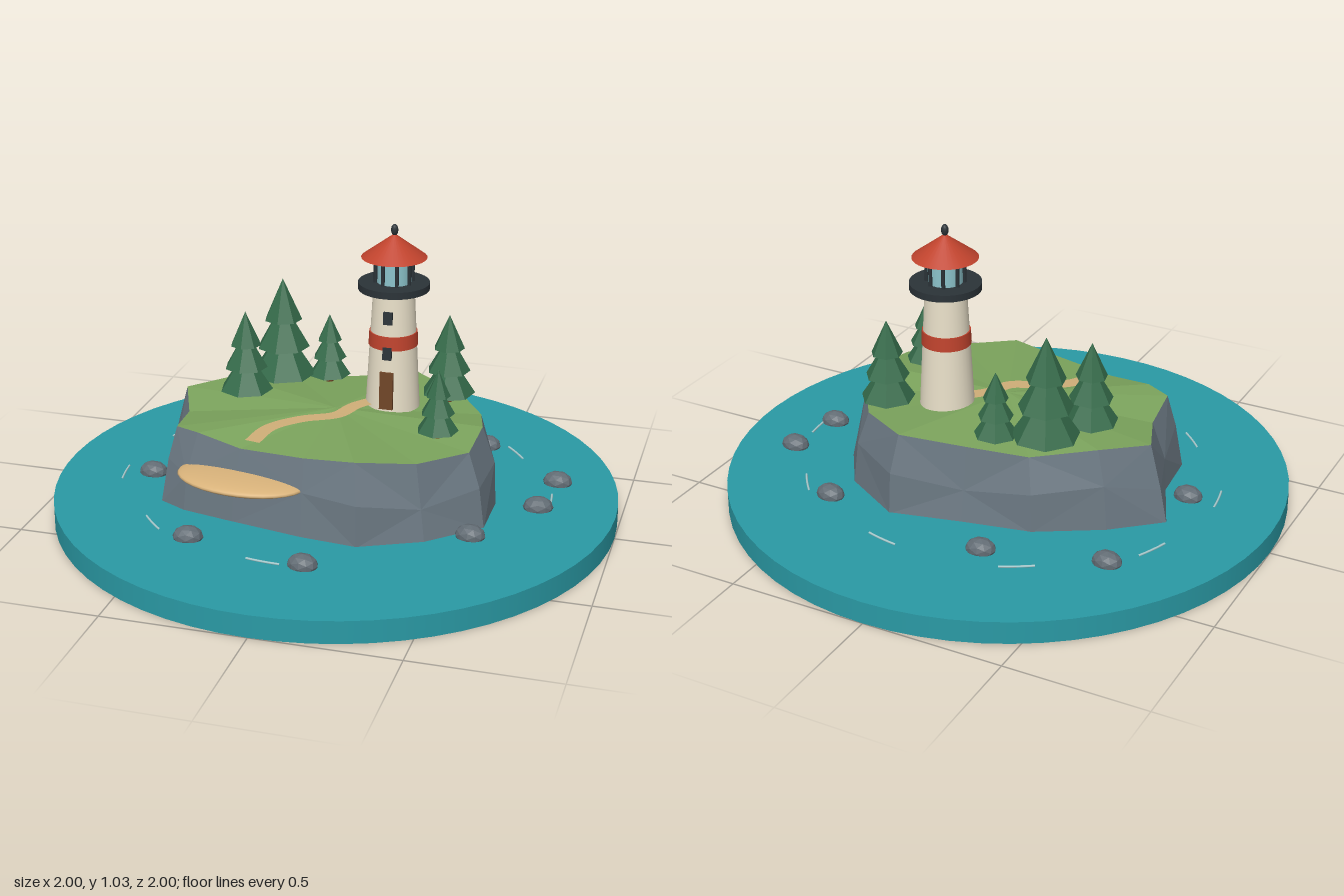
import * as THREE from 'three';

const mat = (color, flat = false, side = THREE.FrontSide) =>
  new THREE.MeshStandardMaterial({ color, flatShading: flat, side });

const M = {
  sea: mat(0x2a9aa5), rock: mat(0x6b7882, true), grass: mat(0x7ba35c, true),
  sand: mat(0xd8b27a), path: mat(0xcfae78, false, THREE.DoubleSide),
  wall: mat(0xe8dfc8), red: mat(0xc0432d), dark: mat(0x2b3338), glass: mat(0x8cc4cc),
  wood: mat(0x6f4426), leaf: mat(0x356b4a, true), stone: mat(0x626c74, true),
  foam: mat(0xa9cdd0),
};

function add(parent, name, geo, material, x = 0, y = 0, z = 0) {
  const m = new THREE.Mesh(geo, material);
  m.name = name;
  m.position.set(x, y, z);
  parent.add(m);
  return m;
}

// Cylinder standing from y0 to y1
function post(parent, name, rBottom, rTop, y0, y1, material, seg = 32, x = 0, z = 0) {
  return add(parent, name, new THREE.CylinderGeometry(rTop, rBottom, y1 - y0, seg), material, x, (y0 + y1) / 2, z);
}

// Waterline of the island as x, z pairs
const SHORE = [
  [0.58, 0], [0.58, 0.2], [0.41, 0.36], [0.2, 0.46], [0, 0.44], [-0.26, 0.39], [-0.45, 0.35], [-0.55, 0.3],
  [-0.57, 0.1], [-0.66, -0.1], [-0.5, -0.24], [-0.28, -0.37], [-0.04, -0.42], [0.21, -0.48], [0.43, -0.35], [0.54, -0.18],
];

function triangles(list) {
  const g = new THREE.BufferGeometry();
  g.setAttribute('position', new THREE.Float32BufferAttribute(list.flat(2), 3));
  g.computeVertexNormals();
  return g;
}

// Cliff rings and a grass fan on top
function island(root) {
  const n = SHORE.length;
  const ring = (scale, y, wobS, wobY, phase) => SHORE.map(([x, z], i) => {
    const s = scale + wobS * Math.sin(i * 2.4 + phase);
    return [x * s, y + wobY * Math.sin(i * 1.9 + phase), z * s];
  });
  const rings = [ring(1, 0.075, 0, 0, 0), ring(0.97, 0.215, 0.02, 0.025, 1), ring(0.9, 0.352, 0.008, 0.014, 2)];
  const cliff = [], grass = [];
  for (let i = 0; i < n; i++) {
    const j = (i + 1) % n;
    for (let k = 0; k < 2; k++) {
      const a = rings[k][i], b = rings[k][j], c = rings[k + 1][j], d = rings[k + 1][i];
      if ((i + k) % 2) cliff.push([a, c, b], [a, d, c]);
      else cliff.push([a, d, b], [b, d, c]);
    }
    grass.push([[0, 0.376, 0], rings[2][j], rings[2][i]]);
  }
  add(root, 'cliff', triangles(cliff), M.rock);
  add(root, 'grassTop', triangles(grass), M.grass);
}

// Flat winding ribbon following a curve
function footpath(root) {
  const curve = new THREE.CatmullRomCurve3([
    [-0.2, 0.335], [-0.175, 0.21], [-0.09, 0.12], [0.02, 0.06], [0.06, -0.03], [0.12, -0.1],
  ].map(([x, z]) => new THREE.Vector3(x, 0, z)));
  const steps = 32, half = 0.028, tris = [];
  const edge = (t) => {
    const p = curve.getPointAt(t), d = curve.getTangentAt(t);
    const y = 0.381 - 0.018 * (1 - t);
    return [1, -1].map((s) => [p.x - d.z * half * s, y, p.z + d.x * half * s]);
  };
  for (let i = 0; i < steps; i++) {
    const [a, b] = edge(i / steps), [c, d] = edge((i + 1) / steps);
    tris.push([a, c, b], [b, c, d]);
  }
  add(root, 'footpath', triangles(tris), M.path);
}

function lighthouse(root) {
  const g = new THREE.Group();
  g.name = 'lighthouse';
  g.position.set(0.172, 0, -0.13);
  root.add(g);
  const radiusAt = (y) => 0.096 - 0.024 * (y - 0.36) / 0.44;
  post(g, 'tower', 0.096, 0.072, 0.36, 0.8, M.wall);
  post(g, 'redBand', radiusAt(0.59) + 0.004, radiusAt(0.64) + 0.004, 0.59, 0.64, M.red);
  post(g, 'gallery', 0.125, 0.125, 0.793, 0.818, M.dark);
  post(g, 'lanternGlass', 0.06, 0.06, 0.818, 0.91, M.glass, 24);
  for (let i = 0; i < 8; i++) {
    const a = (i + 0.5) * Math.PI / 4;
    post(g, 'lanternPost', 0.007, 0.007, 0.818, 0.912, M.dark, 8, 0.065 * Math.cos(a), 0.065 * Math.sin(a));
  }
  add(g, 'roof', new THREE.ConeGeometry(0.115, 0.085, 32), M.red, 0, 0.95, 0);
  add(g, 'finial', new THREE.SphereGeometry(0.013, 12, 8), M.dark, 0, 1.005, 0).scale.y = 1.6;
  // Door and windows lie on the sloping front wall
  const opening = (name, w, h, y, material) => {
    const m = add(g, name, new THREE.BoxGeometry(w, h, 0.016), material, 0, y, radiusAt(y));
    m.rotation.x = -0.054;
  };
  opening('door', 0.048, 0.135, 0.444, M.wood);
  opening('lowerWindow', 0.032, 0.045, 0.58, M.dark);
  opening('upperWindow', 0.032, 0.045, 0.708, M.dark);
}

// Three stacked cones on a short trunk
function pine(root, x, z, h) {
  const g = new THREE.Group();
  g.name = 'pineTree';
  g.position.set(x, 0.365, z);
  root.add(g);
  post(g, 'trunk', 0.055 * h, 0.045 * h, -0.03, 0.15 * h, M.wood, 7);
  for (const [y0, y1, r] of [[0.06, 0.54, 0.31], [0.33, 0.77, 0.25], [0.6, 1, 0.18]]) {
    post(g, 'foliage', r * h, 0, y0 * h, y1 * h, M.leaf, 7);
  }
}

export function createModel() {
  const root = new THREE.Group();
  root.name = 'lighthouseIsland';

  post(root, 'sea', 1, 1, 0, 0.08, M.sea, 64);
  island(root);
  const beach = add(root, 'sandLedge', new THREE.SphereGeometry(1, 32, 16), M.sand, -0.228, 0.236, 0.365);
  beach.scale.set(0.235, 0.027, 0.14);
  beach.rotation.y = -0.1;
  footpath(root);
  lighthouse(root);

  const pines = [[-0.27, -0.245, 0.385], [-0.355, -0.07, 0.31], [-0.11, -0.3, 0.245], [0.35, -0.235, 0.31], [0.39, 0.105, 0.235]];
  for (const [x, z, h] of pines) pine(root, x, z, h);

  // Boulders around the shore
  const boulders = [
    [-0.59, -0.43], [-0.185, -0.55], [0.45, -0.475], [0.76, -0.225], [0.73, 0],
    [0.55, 0.28], [0.07, 0.64], [-0.36, 0.55], [-0.66, 0.09],
  ];
  boulders.forEach(([x, z], i) => {
    const m = add(root, 'boulder', new THREE.IcosahedronGeometry(1, 1), M.stone, x, 0.087, z);
    m.scale.set(0.053, 0.038, 0.042);
    m.rotation.y = 0.15 * Math.sin(i * 2);
  });

  // Thin arcs of foam on the water
  const foam = [
    [-0.34, -0.59], [0.14, -0.645], [0.57, -0.44], [0.765, -0.06],
    [-0.69, -0.29], [-0.76, 0.12], [-0.515, 0.48], [-0.065, 0.65],
  ];
  for (const [x, z] of foam) {
    const r = Math.hypot(x, z), arc = 0.12 / r;
    const geo = new THREE.TorusGeometry(r, 0.004, 6, 10, arc).rotateZ(-arc / 2).rotateX(Math.PI / 2);
    add(root, 'foamLine', geo, M.foam, 0, 0.083, 0).rotation.y = -Math.atan2(z, x);
  }
  return root;
}
